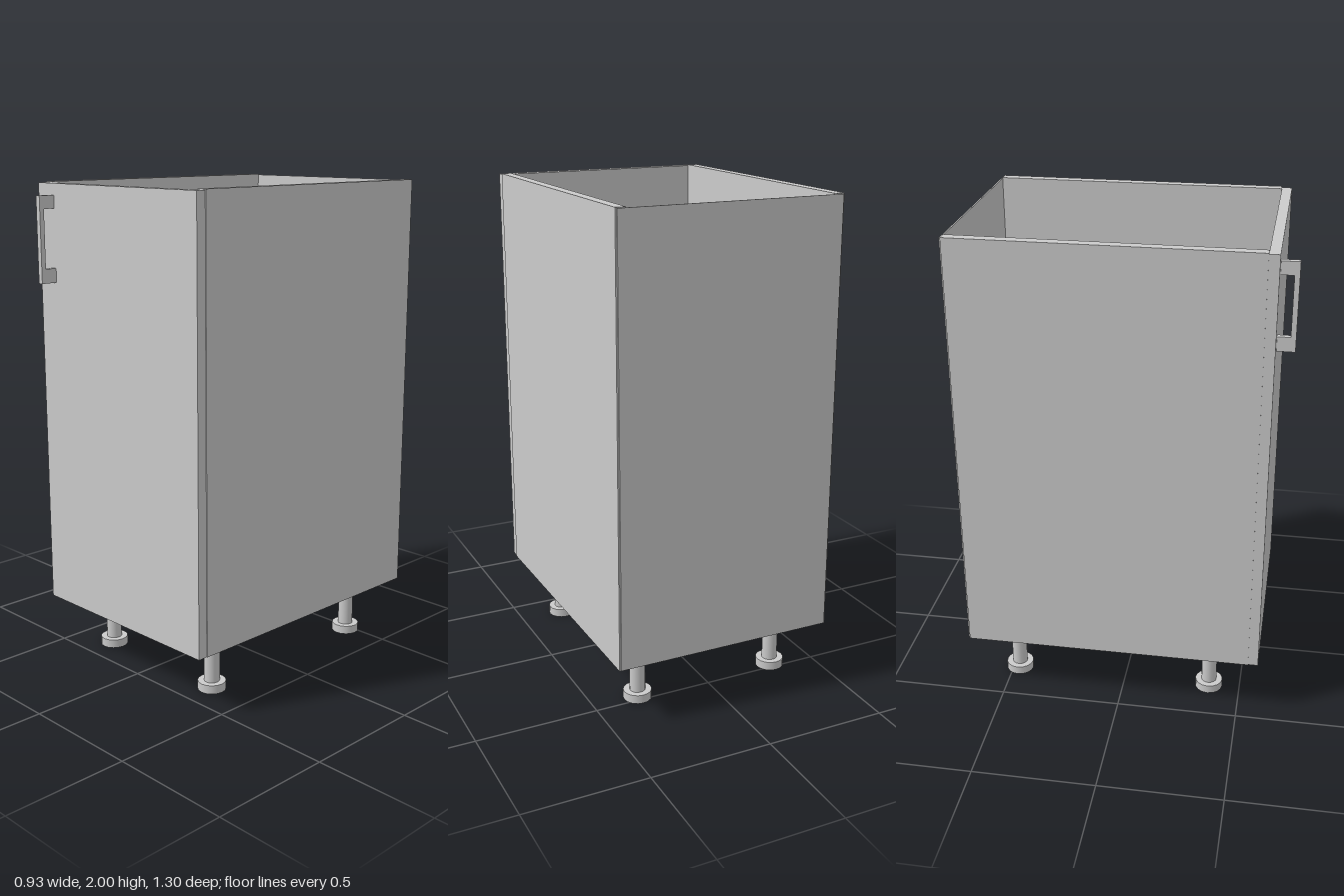
import * as THREE from 'three';

const material = new THREE.MeshStandardMaterial({ color: 0xcccccc });

function add(parent, name, geometry, x = 0, y = 0, z = 0) {
  const mesh = new THREE.Mesh(geometry, material);
  mesh.name = name;
  mesh.position.set(x, y, z);
  parent.add(mesh);
  return mesh;
}

// Box given by its minimum and maximum on each axis
function panel(parent, name, [x0, x1], [y0, y1], [z0, z1]) {
  const box = new THREE.BoxGeometry(x1 - x0, y1 - y0, z1 - z0);
  return add(parent, name, box, (x0 + x1) / 2, (y0 + y1) / 2, (z0 + z1) / 2);
}

export function createModel() {
  const cabinet = new THREE.Group();
  cabinet.name = 'baseCabinet';

  // Open-topped carcass
  panel(cabinet, 'leftSide', [0.422, 0.463], [0.24, 2], [-0.645, 0.54]);
  panel(cabinet, 'rightSide', [-0.463, -0.422], [0.24, 2], [-0.645, 0.54]);
  panel(cabinet, 'bottomPanel', [-0.422, 0.422], [0.24, 0.281], [-0.645, 0.54]);
  panel(cabinet, 'backPanel', [-0.457, 0.457], [0.243, 1.997], [-0.651, -0.645]);

  // Door
  panel(cabinet, 'door', [-0.46, 0.46], [0.24, 1.996], [0.54, 0.581]);

  // Bracket handle: a C-shaped profile in (z, y), extruded across x
  const profile = new THREE.Shape([
    [0.58, 1.605], [0.651, 1.605], [0.651, 1.95], [0.58, 1.95],
    [0.58, 1.898], [0.631, 1.898], [0.631, 1.662], [0.58, 1.662],
  ].map(([z, y]) => new THREE.Vector2(-z, y)));
  const handle = new THREE.ExtrudeGeometry(profile, { depth: 0.022, bevelEnabled: false });
  handle.rotateY(Math.PI / 2);
  add(cabinet, 'handle', handle, -0.383);

  // Adjustable legs with wide feet
  for (const x of [-0.309, 0.309]) {
    for (const z of [0.368, -0.471]) {
      const leg = new THREE.Group();
      leg.name = 'leg';
      leg.position.set(x, 0, z);
      add(leg, 'foot', new THREE.CylinderGeometry(0.058, 0.058, 0.036, 16), 0, 0.018);
      add(leg, 'shaft', new THREE.CylinderGeometry(0.032, 0.032, 0.204, 16), 0, 0.138);
      cabinet.add(leg);
    }
  }
  return cabinet;
}
